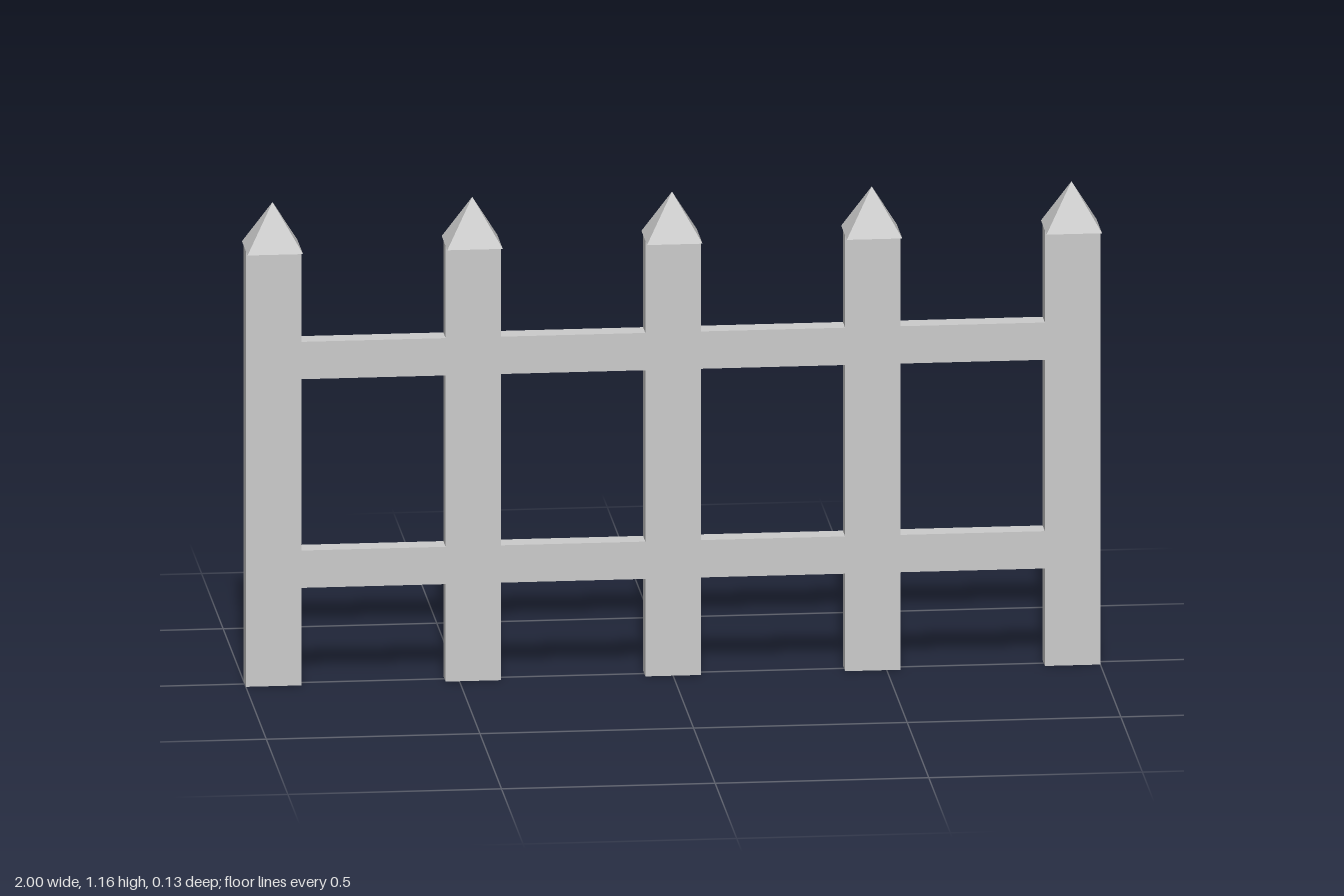
import * as THREE from 'three';

export function createModel() {
  const group = new THREE.Group();
  group.name = 'fence';
  const grey = new THREE.MeshStandardMaterial({ color: 0xcccccc });
  grey.name = 'light grey';

  const add = (name, geometry, x, y) => {
    const mesh = new THREE.Mesh(geometry, grey);
    mesh.name = name;
    mesh.position.set(x, y, 0);
    group.add(mesh);
  };

  const count = 5, width = 0.13, depth = 0.052, postHeight = 1.05, capHeight = 0.11;
  const spacing = (2 - width) / (count - 1);
  const gap = spacing - width;

  const postGeometry = new THREE.BoxGeometry(width, postHeight, depth);
  const railGeometry = new THREE.BoxGeometry(gap, 0.09, depth);

  // Square pyramid cap with flat faces
  const capGeometry = new THREE.ConeGeometry(width / Math.SQRT2, capHeight, 4)
    .rotateY(Math.PI / 4).toNonIndexed();
  capGeometry.computeVertexNormals();

  for (let i = 0; i < count; i++) {
    const x = -1 + width / 2 + i * spacing;
    add('post', postGeometry, x, postHeight / 2);
    add('postCap', capGeometry, x, postHeight + capHeight / 2);
    // Rails sit flush between neighbouring posts
    if (i < count - 1) {
      add('lowerRail', railGeometry, x + spacing / 2, 0.28);
      add('upperRail', railGeometry, x + spacing / 2, 0.783);
    }
  }
  return group;
}
